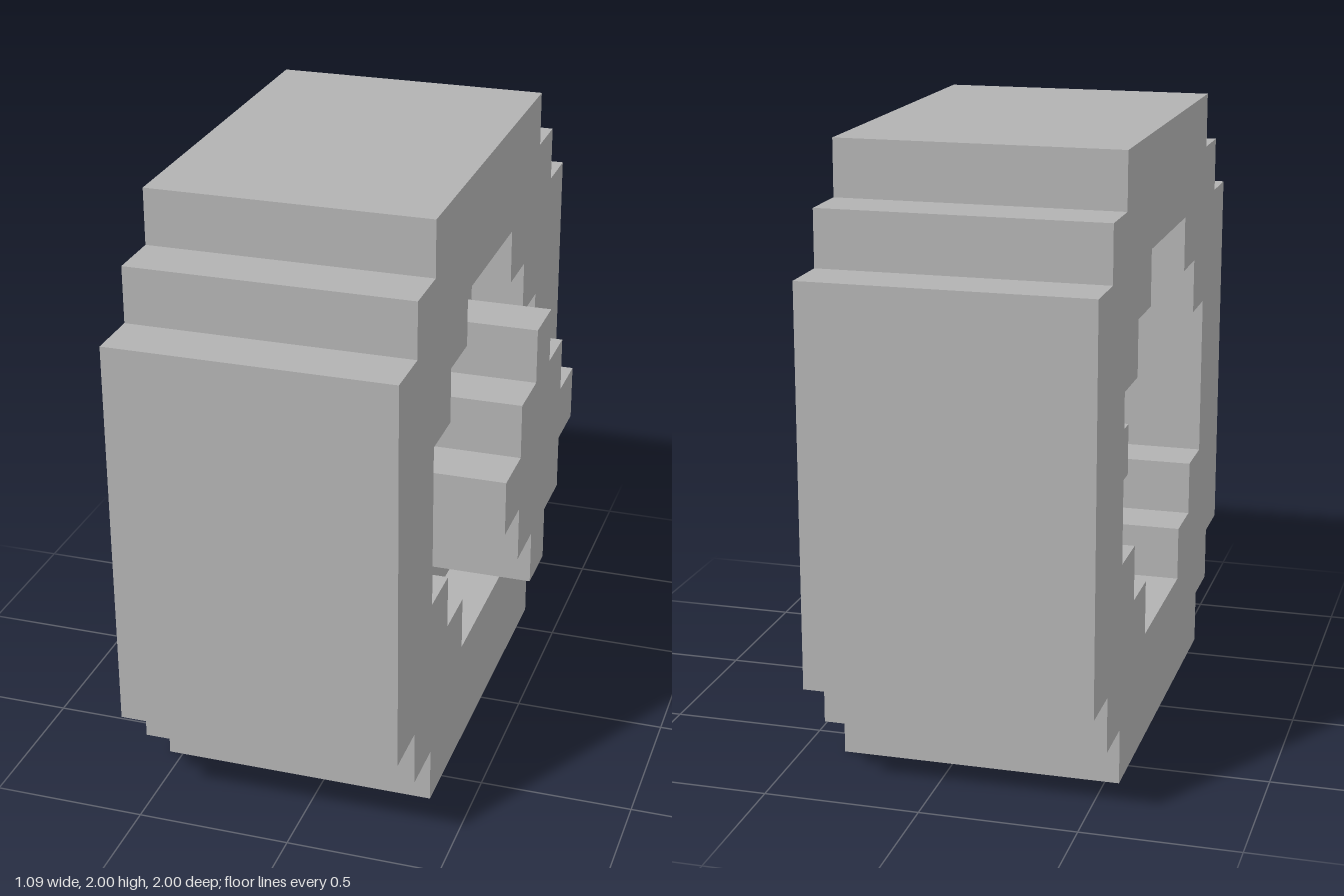
import * as THREE from 'three';

const U = 2 / 11; // one block

// Stepped, four-way symmetric outline from one quadrant's corners (in blocks)
function outline(quadrant, PathType) {
  const back = [...quadrant].reverse();
  const flip = (list, sx, sy) => list.map(([x, y]) => new THREE.Vector2(x * sx * U, y * sy * U));
  return new PathType([
    ...flip(quadrant, 1, 1), ...flip(back, -1, 1),
    ...flip(quadrant, -1, -1), ...flip(back, 1, -1),
  ]);
}

const TYRE = [[5.5, 3.5], [4.5, 3.5], [4.5, 4.5], [3.5, 4.5], [3.5, 5.5]];
const RIM = [[3.5, 1.5], [2.5, 1.5], [2.5, 2.5], [1.5, 2.5], [1.5, 3.5]];
const HUB = [[2.5, 0.5], [1.5, 0.5], [1.5, 1.5], [0.5, 1.5], [0.5, 2.5]];

export function createModel() {
  const model = new THREE.Group();
  model.name = 'blockWheel';
  const grey = new THREE.MeshStandardMaterial({ color: 0xb2b2b2 });
  grey.name = 'grey';

  // Extrudes an outline along x between two block positions
  function slab(name, shape, x0, x1) {
    const geometry = new THREE.ExtrudeGeometry(shape, { depth: (x1 - x0) * U, bevelEnabled: false });
    geometry.rotateY(Math.PI / 2).translate(x0 * U, 1, 0);
    const mesh = new THREE.Mesh(geometry, grey);
    mesh.name = name;
    model.add(mesh);
  }

  // Tyre ring with a stepped opening
  const tyre = outline(TYRE, THREE.Shape);
  tyre.holes.push(outline(RIM, THREE.Path));
  slab('tyre', tyre, -3, 2);

  // Disc filling the opening, and the hub standing out of it
  slab('rimDisc', outline(RIM, THREE.Shape), -1, 1);
  slab('hub', outline(HUB, THREE.Shape), 1, 3);

  // Cross of small blocks on the inner side of the disc
  const axle = new THREE.Group();
  axle.name = 'axleCross';
  for (const [y, z] of [[0, 0], [1, 1], [1, -1], [-1, 1], [-1, -1]]) {
    const block = new THREE.Mesh(new THREE.BoxGeometry(U, U, U), grey);
    block.name = 'axleBlock';
    block.position.set(-1.5 * U, 1 + y * U, z * U);
    axle.add(block);
  }
  model.add(axle);

  return model;
}
